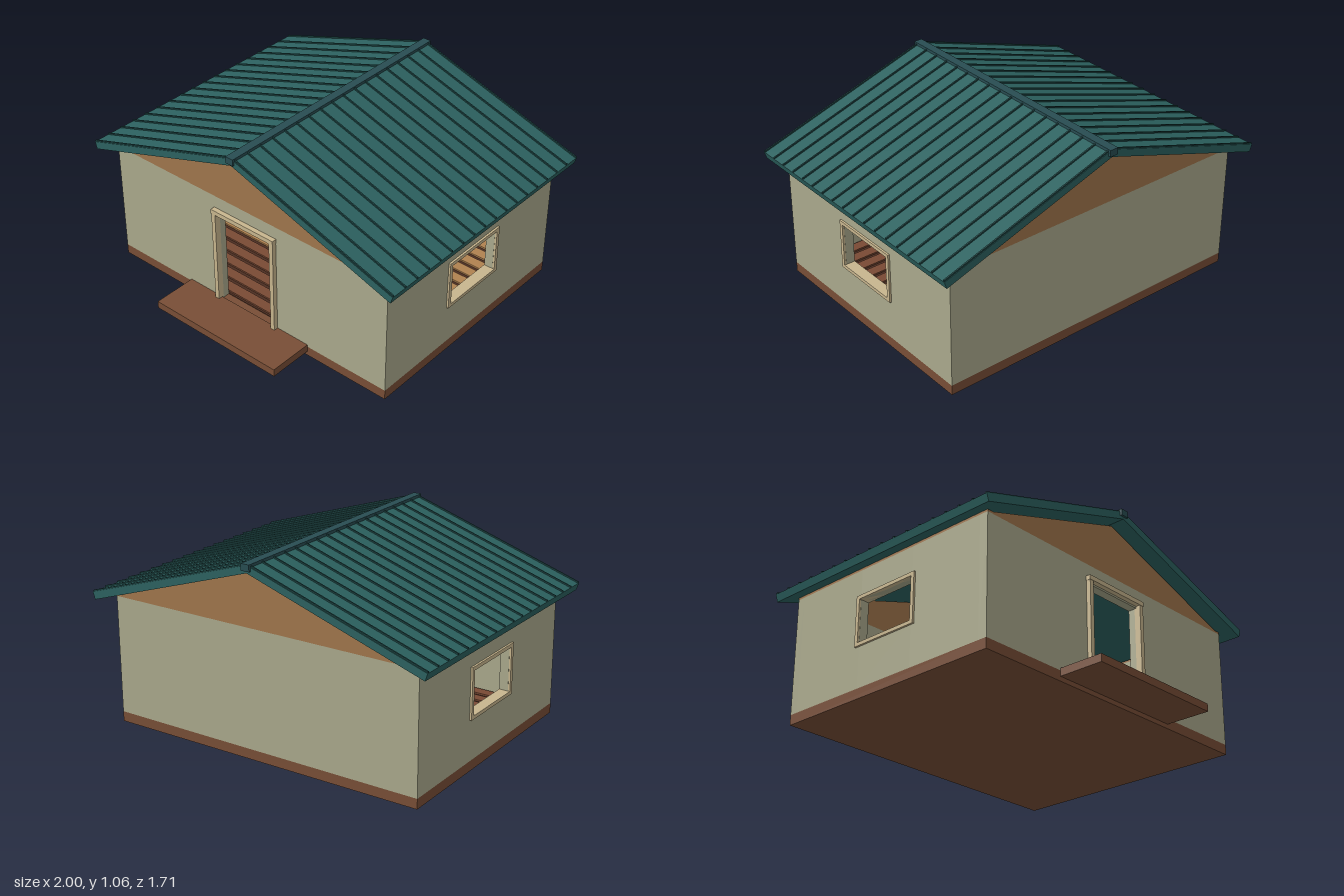
import * as THREE from 'three';

const mat = (color) => new THREE.MeshStandardMaterial({ color });
const WALL = mat(0xaaa98c), BASE = mat(0x784e36), GABLE = mat(0xa0764c), TRIM = mat(0xc8b68e);
const ROOF = mat(0x2c6260), RIB = mat(0x1d4544), RIDGE = mat(0x284d52);
const FLOOR = mat(0x7a4a34), BOARD = mat(0xb08250), GAP = mat(0x4a2c20);

// Main dimensions
const W = 0.91, FRONT = 0.605, BACK = -0.76, BASE_TOP = 0.055, EAVE = 0.70, T = 0.05;
const ROOF_FRONT = 0.685, ROOF_BACK = -0.84;

export function createModel() {
  const model = new THREE.Group();

  // Box given by its limits on each axis
  function box(name, m, x0, x1, y0, y1, z0, z1, parent = model) {
    const mesh = new THREE.Mesh(new THREE.BoxGeometry(x1 - x0, y1 - y0, z1 - z0), m);
    mesh.position.set((x0 + x1) / 2, (y0 + y1) / 2, (z0 + z1) / 2);
    mesh.name = name;
    parent.add(mesh);
    return mesh;
  }
  // Outline in x and y, extruded from z0 to z1
  function prism(name, m, points, z0, z1, parent = model) {
    const shape = new THREE.Shape(points.map(([x, y]) => new THREE.Vector2(x, y)));
    const geo = new THREE.ExtrudeGeometry(shape, { depth: z1 - z0, bevelEnabled: false });
    const mesh = new THREE.Mesh(geo, m);
    mesh.position.z = z0;
    mesh.name = name;
    parent.add(mesh);
    return mesh;
  }
  function group(name) {
    const g = new THREE.Group();
    g.name = name;
    model.add(g);
    return g;
  }

  // Foundation and front step
  box('foundation', BASE, -W, W, 0, BASE_TOP, BACK, FRONT);
  box('frontStep', BASE, -0.41, 0.41, 0.025, 0.067, FRONT, 0.855);

  // Floor boards laid with dark gaps
  const floor = group('floor');
  const z0 = BACK + T, z1 = FRONT - T, count = 15, pitch = (z1 - z0) / count;
  box('floorGap', GAP, -W + T, W - T, BASE_TOP, BASE_TOP + 0.003, z0, z1, floor);
  for (let i = 0; i < count; i++) {
    const z = z0 + i * pitch;
    box('floorBoard', z > 0.12 ? FLOOR : BOARD, -W + T, W - T, BASE_TOP, BASE_TOP + 0.012,
      z + 0.012, z + pitch - 0.012, floor);
  }

  // Front wall around the doorway, and the plain back wall
  const walls = group('walls');
  const DOOR = 0.185, DOOR_TOP = 0.595;
  box('frontWallLeft', WALL, DOOR, W, BASE_TOP, EAVE, FRONT - T, FRONT, walls);
  box('frontWallRight', WALL, -W, -DOOR, BASE_TOP, EAVE, FRONT - T, FRONT, walls);
  box('frontWallOverDoor', WALL, -DOOR, DOOR, DOOR_TOP, EAVE, FRONT - T, FRONT, walls);
  box('backWall', WALL, -W, W, BASE_TOP, EAVE, BACK, BACK + T, walls);

  // Door frame
  const door = group('doorFrame');
  for (const s of [-1, 1]) {
    box('doorPost', TRIM, Math.min(s * 0.183, s * 0.208), Math.max(s * 0.183, s * 0.208),
      0.067, 0.605, FRONT - 0.01, 0.63, door);
  }
  box('doorHead', TRIM, -0.21, 0.21, 0.605, 0.63, FRONT - 0.01, 0.632, door);

  // Side walls around the windows, with window frames and top plates
  const WZ0 = -0.262, WZ1 = 0.105, WY0 = 0.295, WY1 = 0.535;
  for (const s of [-1, 1]) {
    const a = Math.min(s * W, s * (W - T)), b = Math.max(s * W, s * (W - T));
    box('sideWallBack', WALL, a, b, BASE_TOP, EAVE, BACK + T, WZ0, walls);
    box('sideWallFront', WALL, a, b, BASE_TOP, EAVE, WZ1, FRONT - T, walls);
    box('sideWallUnderWindow', WALL, a, b, BASE_TOP, WY0, WZ0, WZ1, walls);
    box('sideWallOverWindow', WALL, a, b, WY1, EAVE, WZ0, WZ1, walls);
    box('topPlate', GABLE, a, b, EAVE, EAVE + 0.012, BACK, FRONT, walls);

    const frame = group('windowFrame');
    const c = Math.min(s * (W - T), s * 0.921), d = Math.max(s * (W - T), s * 0.921);
    box('windowSill', TRIM, c, d, 0.278, 0.297, -0.284, 0.127, frame);
    box('windowHead', TRIM, c, d, 0.535, 0.555, -0.284, 0.127, frame);
    box('windowJambFront', TRIM, c, d, 0.297, 0.535, 0.106, 0.127, frame);
    box('windowJambBack', TRIM, c, d, 0.297, 0.535, -0.284, -0.263, frame);
  }

  // Gable panels
  const gable = [[-W, EAVE], [W, EAVE], [0, 1.0]];
  prism('frontGable', GABLE, gable, FRONT - T, FRONT);
  prism('backGable', GABLE, gable, BACK, BACK + T);

  // Roof slopes with raised seams
  const roof = group('roof');
  const ribs = 18;
  for (const s of [-1, 1]) {
    const slab = [[0, 1.05], [0, 1.01], [s * 0.987, 0.688], [s, 0.728]];
    prism('roofSlope', ROOF, slab, ROOF_BACK, ROOF_FRONT, roof);
    const seam = [[0, 1.058], [0, 1.04], [s * 0.997, 0.72], [s * 1.0, 0.736]];
    for (let i = 0; i < ribs; i++) {
      const z = -0.833 + (i * 1.511) / (ribs - 1);
      prism('roofSeam', RIB, seam, z - 0.004, z + 0.004, roof);
    }
  }

  // Ridge cap
  box('ridgeCap', RIDGE, -0.024, 0.024, 1.022, 1.058, -0.852, 0.696, roof);

  return model;
}
